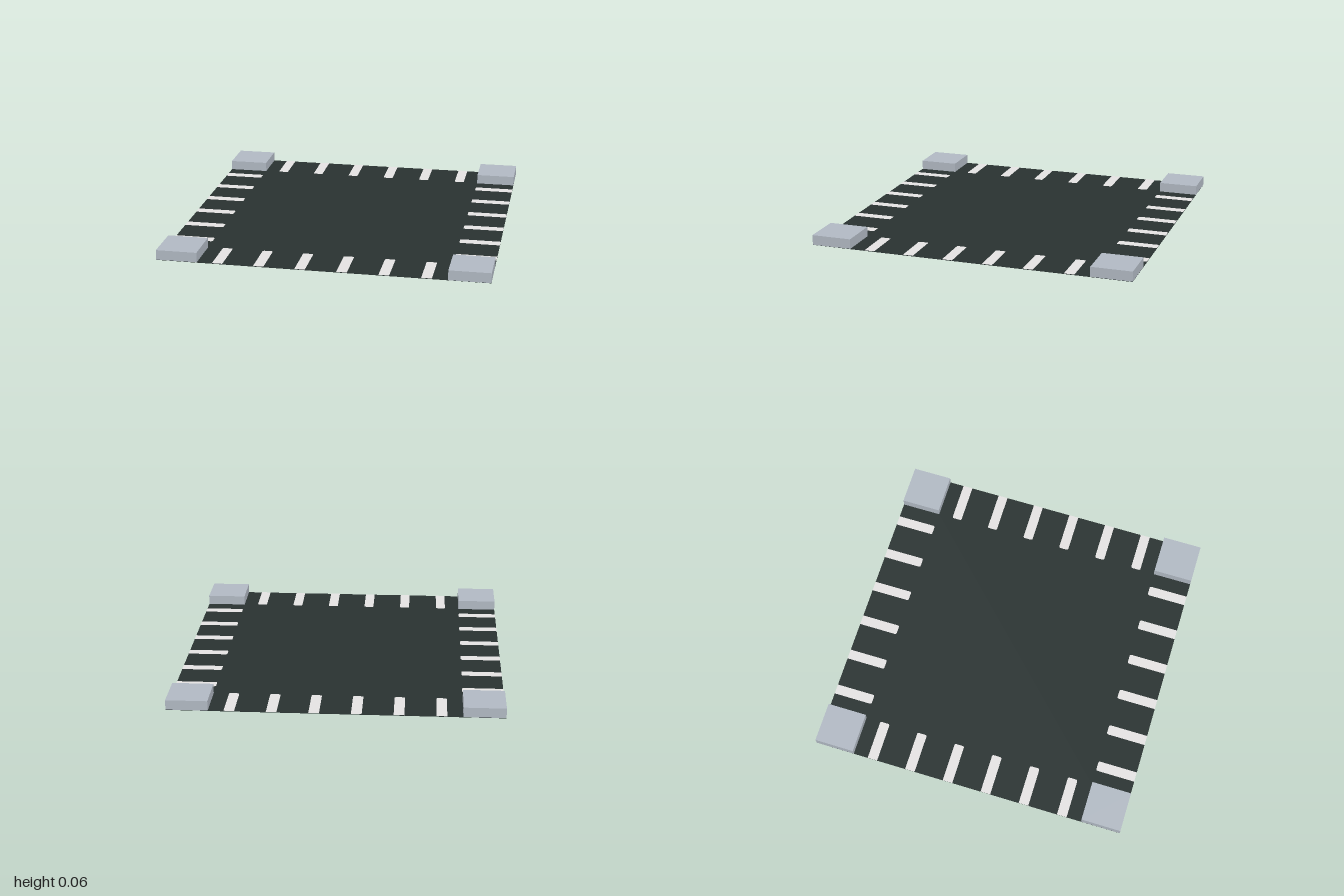
import * as THREE from 'three';

const material = (name, color) => {
  const m = new THREE.MeshStandardMaterial({ color });
  m.name = name;
  return m;
};

export function createModel() {
  const group = new THREE.Group();
  const floorPaint = material('dark green floor', 0x293231);
  const basePaint = material('slate underside', 0x515a67);
  const linePaint = material('light grey lines', 0xe4e2e2);
  const blockPaint = material('blue grey blocks', 0xb1b9c3);

  const add = (name, geometry, mat, parent = group) => {
    const mesh = new THREE.Mesh(geometry, mat);
    mesh.name = name;
    parent.add(mesh);
    return mesh;
  };

  // Very thin floor slab, with a slate underside
  const thick = 0.002;
  const floorFaces = [0, 1, 2, 3, 4, 5].map((face) => (face === 3 ? basePaint : floorPaint));
  add('floor', new THREE.BoxGeometry(2, thick, 2), floorFaces).position.y = thick / 2;

  // Painted line: square at the floor edge, rounded corners at the inner end
  const half = 0.0315, inner = 0.75, r = 0.012;
  const outline = new THREE.Shape();
  outline.moveTo(-half, -1);
  outline.lineTo(half, -1);
  outline.lineTo(half, -inner - r);
  outline.quadraticCurveTo(half, -inner, half - r, -inner);
  outline.lineTo(-half + r, -inner);
  outline.quadraticCurveTo(-half, -inner, -half, -inner - r);
  outline.closePath();
  const lineGeometry = new THREE.ShapeGeometry(outline, 4).rotateX(-Math.PI / 2);

  // Six lines and one corner block on each of the four sides
  const top = 0.0625, bottom = 0.001;
  const blockGeometry = new THREE.BoxGeometry(0.25, top - bottom, 0.25);
  for (let side = 0; side < 4; side++) {
    const edge = new THREE.Group();
    edge.name = 'edge' + (side + 1);
    edge.rotation.y = side * Math.PI / 2;
    group.add(edge);
    for (let i = 0; i < 6; i++) {
      add('edgeLine', lineGeometry, linePaint, edge).position.set(-0.625 + i * 0.25, thick + 0.002, 0);
    }
    add('cornerBlock', blockGeometry, blockPaint, edge).position.set(0.875, (top + bottom) / 2, 0.875);
  }
  return group;
}
